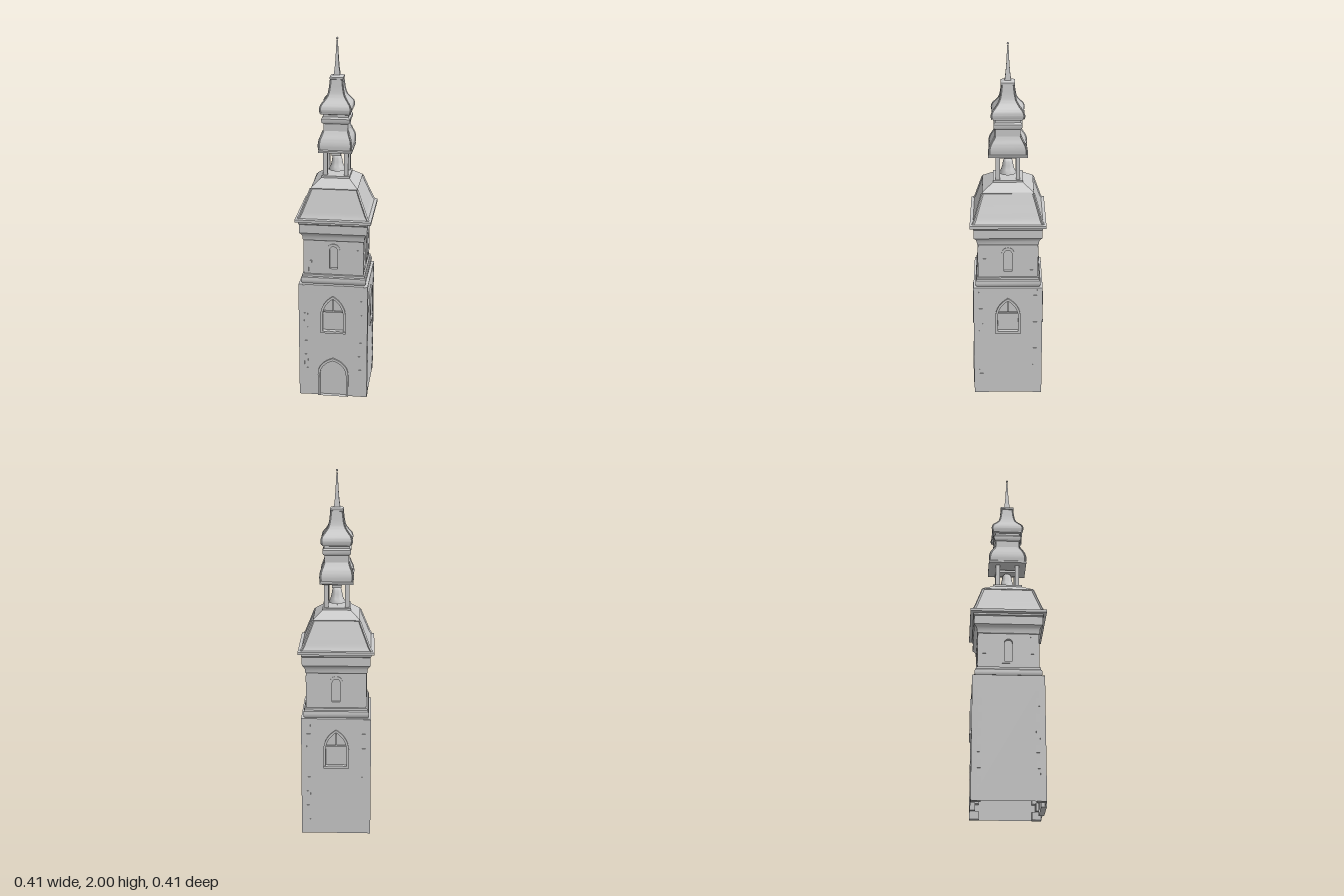
import * as THREE from 'three';
import { toCreasedNormals } from 'three/addons/utils/BufferGeometryUtils.js';

const grey = new THREE.MeshStandardMaterial({ color: 0xcccccc, side: THREE.DoubleSide });
const V = (hx, y, hz = hx) => new THREE.Vector3(hx, y, hz);
const smooth = (pts, n) => new THREE.CatmullRomCurve3(pts).getPoints(n);

function add(parent, name, geometry, x = 0, y = 0, z = 0) {
  const m = new THREE.Mesh(geometry, grey);
  m.name = name;
  m.position.set(x, y, z);
  parent.add(m);
  return m;
}
const box = (parent, name, w, h, d, x, y, z) => add(parent, name, new THREE.BoxGeometry(w, h, d), x, y, z);

// Four-sided loft through rings given as (half width, height, half depth)
function loft(rings) {
  const corners = [[1, 1], [1, -1], [-1, -1], [-1, 1]];
  const pos = [];
  const at = (r, k) => [r.x * corners[k % 4][0], r.y, r.z * corners[k % 4][1]];
  for (let k = 0; k < 4; k++) {
    for (let i = 0; i < rings.length - 1; i++) {
      const a = at(rings[i], k), b = at(rings[i], k + 1);
      const c = at(rings[i + 1], k + 1), d = at(rings[i + 1], k);
      pos.push(...a, ...b, ...c, ...a, ...c, ...d);
    }
  }
  const g = new THREE.BufferGeometry();
  g.setAttribute('position', new THREE.Float32BufferAttribute(pos, 3));
  return toCreasedNormals(g, 0.5);
}

// Raised ribs following the four hips of a lofted roof
function ribs(parent, name, rings, radius) {
  for (const sx of [-1, 1]) for (const sz of [-1, 1]) {
    const path = new THREE.CatmullRomCurve3(rings.map(r => new THREE.Vector3(r.x * sx, r.y, r.z * sz)));
    add(parent, name, toCreasedNormals(new THREE.TubeGeometry(path, 24, radius, 4), 0.6));
  }
}

// Arched outline; k = 1 gives a round head, less gives a pointed one
function arch(Type, o, inset) {
  const w = o.w - inset, y0 = o.y0 + (o.door ? 0 : inset), top = o.top - inset * 1.2;
  const ctrl = o.spring + (top - o.spring) * o.k;
  const s = new Type();
  s.moveTo(-w, y0);
  s.lineTo(w, y0);
  s.lineTo(w, o.spring);
  s.quadraticCurveTo(w, ctrl, 0, top);
  s.quadraticCurveTo(-w, ctrl, -w, o.spring);
  s.lineTo(-w, y0);
  return s;
}

// One wall at distance half from the axis, with framed openings
function wall(parent, name, half, y0, y1, angle, openings) {
  const side = new THREE.Group();
  side.name = name;
  side.rotation.y = angle;
  parent.add(side);
  const s = new THREE.Shape();
  s.moveTo(-half, y0);
  s.lineTo(half, y0);
  s.lineTo(half, y1);
  s.lineTo(-half, y1);
  for (const o of openings) {
    s.holes.push(arch(THREE.Path, o, o.frame * 0.5));
    const ring = arch(THREE.Shape, o, 0);
    ring.holes.push(arch(THREE.Path, o, o.frame));
    const g = new THREE.ExtrudeGeometry(ring, { depth: 0.02 + o.proud, bevelEnabled: false, curveSegments: 8 });
    add(side, o.name + 'Frame', toCreasedNormals(g, 0.5), 0, 0, half - 0.02);
    add(side, o.name + 'Panel', new THREE.ShapeGeometry(arch(THREE.Shape, o, o.frame * 0.5), 8), 0, 0, half - 0.014);
    if (o.bars) {
      box(side, 'transom', o.w * 1.8, 0.008, 0.01, 0, 0.515, half - 0.01);
      box(side, 'mullion', 0.008, 0.07, 0.01, 0, 0.55, half - 0.01);
      box(side, 'sill', o.w * 2, 0.012, 0.02, 0, o.y0 + 0.006, half);
    }
  }
  add(side, name + 'Face', new THREE.ShapeGeometry(s, 8), 0, 0, half);
}

// Alternating long and short corner stones
function quoins(parent, half, y0, y1, count, long, short) {
  const h = (y1 - y0) / count, out = half + 0.0015;
  for (let i = 0; i < count; i++) {
    const a = i % 2 ? long : short, b = i % 2 ? short : long;
    for (const sx of [-1, 1]) for (const sz of [-1, 1])
      box(parent, 'quoin', a, h, b, sx * (out - a / 2), y0 + h * (i + 0.5), sz * (out - b / 2));
  }
}

export function createModel() {
  const tower = new THREE.Group();
  tower.name = 'bellTower';

  const door = { name: 'door', w: 0.086, y0: 0, spring: 0.13, top: 0.235, k: 0.72, frame: 0.013, proud: 0.009, door: true };
  const pointed = { name: 'pointedWindow', w: 0.07, y0: 0.39, spring: 0.49, top: 0.612, k: 0.65, frame: 0.013, proud: 0.008, bars: true };
  const round = { name: 'roundWindow', w: 0.035, y0: 0.752, spring: 0.865, top: 0.908, k: 1, frame: 0.013, proud: 0.004 };

  // Lower and upper storeys: front, +x side, back, -x side
  const lower = [[door, pointed], [pointed], [pointed], []];
  const names = ['front', 'left', 'back', 'right'];
  names.forEach((n, i) => {
    wall(tower, n + 'LowerWall', 0.189, 0, 0.675, i * Math.PI / 2, lower[i]);
    wall(tower, n + 'UpperWall', 0.163, 0.72, 0.95, i * Math.PI / 2, [round]);
  });
  quoins(tower, 0.189, 0, 0.672, 16, 0.05, 0.03);
  quoins(tower, 0.163, 0.74, 0.91, 5, 0.045, 0.028);

  // Moulding between the storeys
  add(tower, 'stringCourse', loft([
    V(0.19, 0.675), V(0.172, 0.676), V(0.177, 0.685), V(0.179, 0.698), V(0.176, 0.712),
    V(0.171, 0.717), V(0.171, 0.729), V(0.163, 0.731)]));

  // Cornice and eaves
  add(tower, 'cornice', loft([
    V(0.163, 0.925), V(0.167, 0.93), V(0.169, 0.95), V(0.175, 0.962), V(0.184, 0.972),
    V(0.184, 1.02), V(0.188, 1.025), V(0.188, 1.035), V(0.205, 1.038), V(0.205, 1.053), V(0.186, 1.056)]));

  // Concave main roof and its upper slope
  const roof = smooth([
    V(0.188, 1.055), V(0.177, 1.075, 0.179), V(0.163, 1.11, 0.168),
    V(0.145, 1.155, 0.154), V(0.124, 1.21, 0.137)], 14);
  add(tower, 'mainRoof', loft(roof));
  ribs(tower, 'roofRib', roof, 0.007);
  add(tower, 'upperRoof', loft([
    V(0.124, 1.208, 0.137), V(0.126, 1.212, 0.139), V(0.124, 1.217, 0.137),
    V(0.076, 1.255, 0.08), V(0.076, 1.266, 0.08), V(0.001, 1.266)]));

  // Open belfry with four posts
  for (const sx of [-1, 1]) for (const sz of [-1, 1])
    box(tower, 'belfryPost', 0.023, 0.14, 0.023, sx * 0.056, 1.333, sz * 0.054);

  // Bell hanging from its yoke
  const bellProfile = [[0.001, 1.29], [0.034, 1.285], [0.044, 1.282], [0.043, 1.29], [0.035, 1.305],
    [0.029, 1.33], [0.026, 1.35], [0.02, 1.364], [0.008, 1.37], [0.001, 1.371]];
  const bell = new THREE.LatheGeometry(bellProfile.map(([r, y]) => new THREE.Vector2(r, y)), 24);
  add(tower, 'bell', toCreasedNormals(bell, 0.9));
  box(tower, 'bellHanger', 0.014, 0.04, 0.014, 0, 1.383, 0);
  box(tower, 'bellYoke', 0.05, 0.014, 0.11, 0, 1.378, 0);

  // Belfry canopy
  const canopy = smooth([
    V(0.085, 1.415, 0.1), V(0.087, 1.44, 0.1), V(0.083, 1.468, 0.092), V(0.073, 1.493, 0.078), V(0.067, 1.512, 0.068)], 14);
  add(tower, 'canopy', loft([
    V(0.001, 1.395), V(0.075, 1.395, 0.085), V(0.09, 1.4, 0.105), V(0.09, 1.41, 0.105), ...canopy]));
  ribs(tower, 'canopyRib', canopy, 0.005);

  // Neck with mouldings
  add(tower, 'neck', loft([
    V(0.066, 1.51), V(0.066, 1.55), V(0.073, 1.556), V(0.076, 1.565), V(0.076, 1.578), V(0.071, 1.585),
    V(0.068, 1.588), V(0.068, 1.6), V(0.078, 1.604), V(0.079, 1.612)]));

  // Onion dome and collar
  const onion = smooth([
    V(0.078, 1.61, 0.083), V(0.082, 1.628, 0.087), V(0.078, 1.65, 0.08), V(0.062, 1.672), V(0.046, 1.696),
    V(0.038, 1.725), V(0.034, 1.755), V(0.031, 1.782)], 24);
  add(tower, 'onionDome', loft(onion));
  ribs(tower, 'onionRib', onion, 0.004);
  add(tower, 'collar', loft([
    V(0.03, 1.78), V(0.036, 1.784, 0.037), V(0.036, 1.794, 0.037), V(0.026, 1.798), V(0.016, 1.802)]));

  // Spire with finial
  add(tower, 'spire', loft([
    V(0.017, 1.8), V(0.012, 1.84), V(0.008, 1.89), V(0.005, 1.95), V(0.003, 1.985)]));
  add(tower, 'finial', new THREE.SphereGeometry(0.006, 10, 8), 0, 1.994, 0);

  return tower;
}
